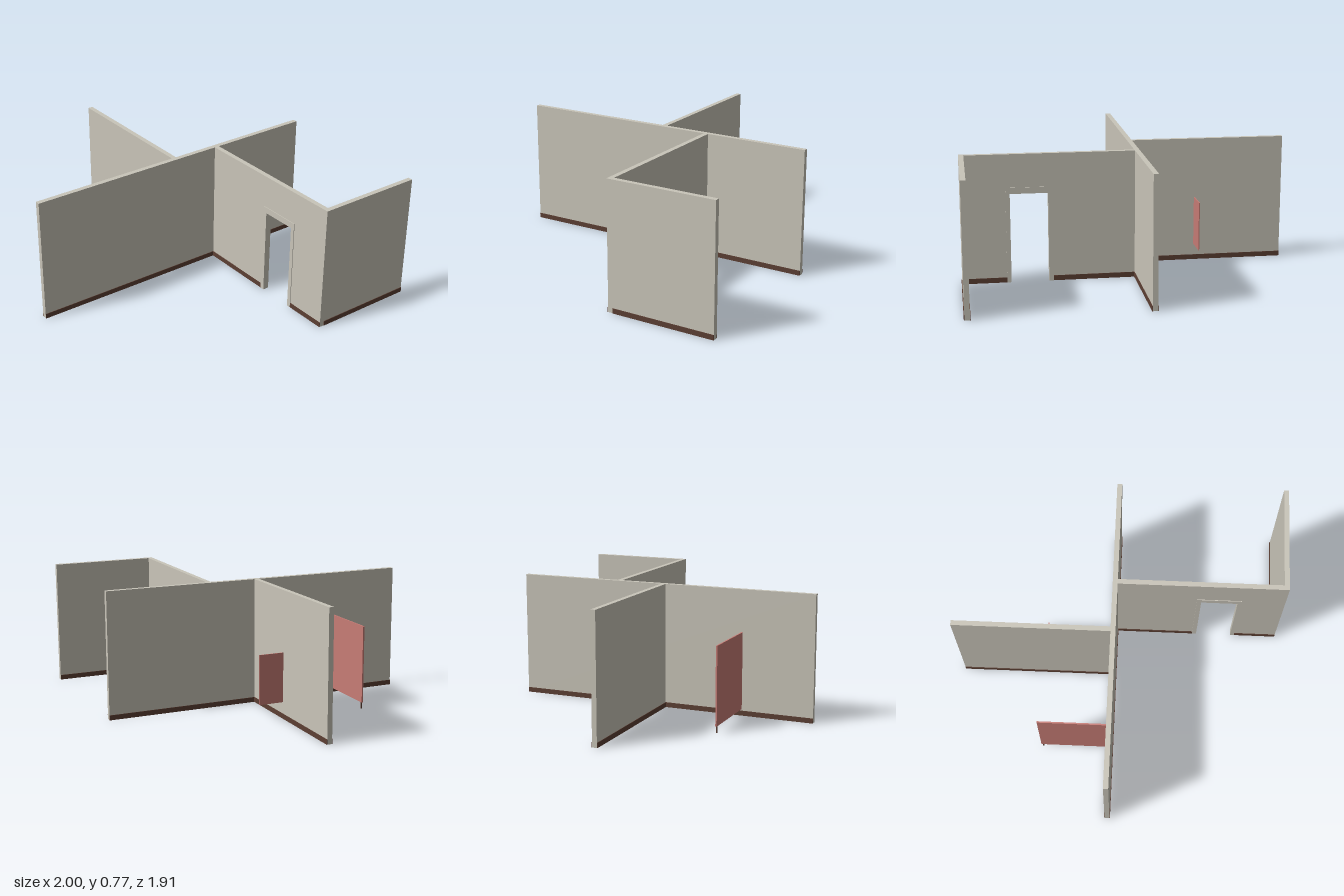
import * as THREE from 'three';

const HEIGHT = 0.77, T = 0.03;      // wall height and thickness
const BASE_H = 0.03, BASE_T = 0.0035; // baseboard height and depth

export function createModel() {
  const model = new THREE.Group();
  const plaster = new THREE.MeshStandardMaterial({ color: 0xc9c5b9 });
  plaster.name = 'plaster';
  const brown = new THREE.MeshStandardMaterial({ color: 0x5c3f33 });
  brown.name = 'baseboardBrown';
  const red = new THREE.MeshStandardMaterial({ color: 0xc77c75 });
  red.name = 'panelRed';

  // Box given by its minimum and maximum on each axis
  function box(name, material, [x0, x1], [y0, y1], [z0, z1]) {
    const mesh = new THREE.Mesh(new THREE.BoxGeometry(x1 - x0, y1 - y0, z1 - z0), material);
    mesh.position.set((x0 + x1) / 2, (y0 + y1) / 2, (z0 + z1) / 2);
    mesh.name = name;
    model.add(mesh);
  }
  // Baseboard on a wall face: along x on a z face, or along z on an x face
  function baseAlongX(x0, x1, face, side) {
    const out = face + side * BASE_T;
    box('baseboard', brown, [x0, x1], [0, BASE_H], [Math.min(face, out), Math.max(face, out)]);
  }
  function baseAlongZ(z0, z1, face, side) {
    const out = face + side * BASE_T;
    box('baseboard', brown, [Math.min(face, out), Math.max(face, out)], [0, BASE_H], [z0, z1]);
  }

  const full = [0, HEIGHT];
  const longX = [-0.057, -0.057 + T], leftZ = [-0.018, -0.018 + T];
  const backZ = [-0.323, -0.323 + T], rightX = [0.997 - T, 0.997];
  const END = 0.957;

  // Plain walls
  box('longWall', plaster, longX, full, [-END, END]);
  box('leftWall', plaster, [-1, longX[0]], full, leftZ);
  box('rightWall', plaster, rightX, full, [-END, backZ[0]]);

  // Back wall with a doorway cut up from the floor
  const door = { x0: 0.475, x1: 0.72, top: 0.545 };
  const outline = new THREE.Shape([
    [longX[1], 0], [door.x0, 0], [door.x0, door.top], [door.x1, door.top],
    [door.x1, 0], [rightX[1], 0], [rightX[1], HEIGHT], [longX[1], HEIGHT],
  ].map(([x, y]) => new THREE.Vector2(x, y)));
  const backWall = new THREE.Mesh(
    new THREE.ExtrudeGeometry(outline, { depth: T, bevelEnabled: false }), plaster);
  backWall.position.z = backZ[0];
  backWall.name = 'backWall';
  model.add(backWall);

  // Door frame: lining inside the opening, flat casing on both faces
  const inner = { x0: 0.485, x1: 0.708, top: 0.535 };
  const outer = { x0: 0.458, x1: 0.733, top: 0.572 };
  box('doorJamb', plaster, [door.x0, inner.x0], [0, door.top], backZ);
  box('doorJamb', plaster, [inner.x1, door.x1], [0, door.top], backZ);
  box('doorLintel', plaster, [inner.x0, inner.x1], [inner.top, door.top], backZ);
  for (const [z0, z1] of [[backZ[1], backZ[1] + 0.004], [backZ[0] - 0.004, backZ[0]]]) {
    box('doorCasing', plaster, [outer.x0, inner.x0], [0, inner.top], [z0, z1]);
    box('doorCasing', plaster, [inner.x1, outer.x1], [0, inner.top], [z0, z1]);
    box('doorHeader', plaster, [outer.x0, outer.x1], [inner.top, outer.top], [z0, z1]);
  }

  // Baseboards on every long face, broken at junctions and the doorway
  baseAlongZ(backZ[1], END, longX[1], 1);
  baseAlongZ(-END, backZ[0], longX[1], 1);
  baseAlongZ(leftZ[1], END, longX[0], -1);
  baseAlongZ(-END, leftZ[0], longX[0], -1);
  baseAlongX(-1, longX[0], leftZ[1], 1);
  baseAlongX(-1, longX[0], leftZ[0], -1);
  baseAlongZ(-END, backZ[0], rightX[1], 1);
  baseAlongZ(-END, backZ[0], rightX[0], -1);
  baseAlongX(longX[1], outer.x0, backZ[1], 1);
  baseAlongX(outer.x1, rightX[1], backZ[1], 1);
  baseAlongX(longX[1], outer.x0, backZ[0], -1);
  baseAlongX(outer.x1, rightX[0], backZ[0], -1);

  // Partition panels: a large one on a slim foot, a small one hung off the left wall
  box('largePanel', red, [-0.475, longX[0]], [0.04, 0.512], [0.503, 0.512]);
  box('panelFoot', brown, [-0.467, -0.459], [0, 0.04], [0.504, 0.511]);
  box('smallPanel', red, [-0.453, -0.447], [0.1, 0.4], [-0.172, leftZ[0]]);

  return model;
}
